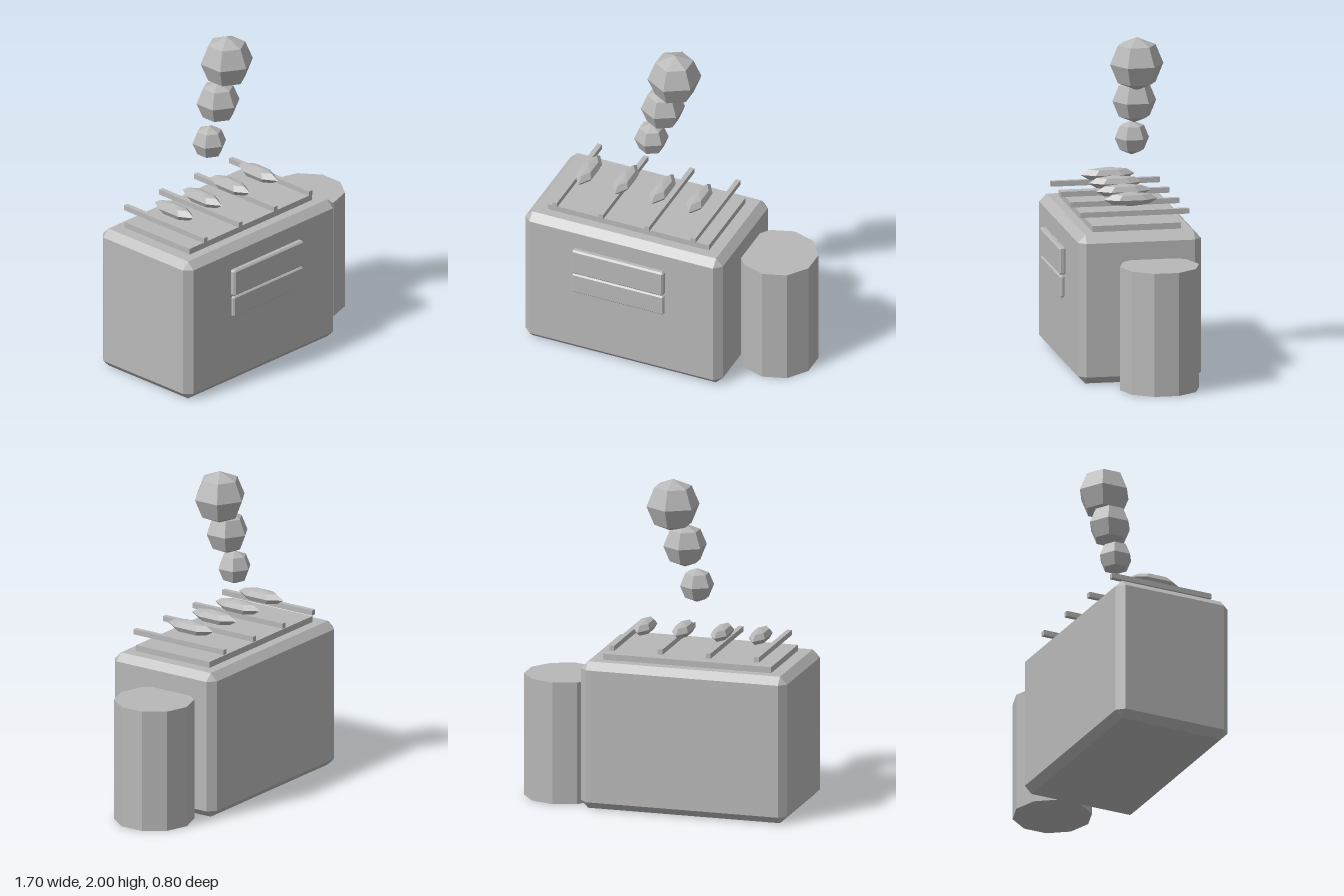
import * as THREE from 'three';
import { ConvexGeometry } from 'three/addons/geometries/ConvexGeometry.js';

const grey = new THREE.MeshStandardMaterial({ color: 0xb8b8b8, flatShading: true });
grey.name = 'grey';

// Box given by its limits, with every edge and corner chamfered by c
function chamferBox(x0, x1, y0, y1, z0, z1, c) {
  const h = [(x1 - x0) / 2, (y1 - y0) / 2, (z1 - z0) / 2];
  const points = [];
  for (const sx of [-1, 1]) for (const sy of [-1, 1]) for (const sz of [-1, 1]) {
    for (let axis = 0; axis < 3; axis++) {
      const inset = h.map((v, i) => (i === axis ? v : v - c));
      points.push(new THREE.Vector3(sx * inset[0], sy * inset[1], sz * inset[2]));
    }
  }
  return new ConvexGeometry(points).translate((x0 + x1) / 2, (y0 + y1) / 2, (z0 + z1) / 2);
}

function plainBox(x0, x1, y0, y1, z0, z1) {
  return new THREE.BoxGeometry(x1 - x0, y1 - y0, z1 - z0)
    .translate((x0 + x1) / 2, (y0 + y1) / 2, (z0 + z1) / 2);
}

// Six-sided low-poly ball with its points on the z axis
const ball = () => new THREE.SphereGeometry(1, 6, 4).rotateY(Math.PI / 2);

export function createModel() {
  const model = new THREE.Group();
  model.name = 'grill';
  const add = (name, geometry) => {
    const mesh = new THREE.Mesh(geometry, grey);
    mesh.name = name;
    model.add(mesh);
  };

  // Cabinet, hot plate and side tank
  add('cabinet', chamferBox(-0.85, 0.438, 0, 0.904, -0.402, 0.346, 0.045));
  add('hotPlate', plainBox(-0.73, 0.32, 0.904, 0.941, -0.296, 0.242));
  add('tank', new THREE.CylinderGeometry(0.24, 0.24, 0.75, 10).translate(0.62, 0.375, -0.105));

  // Front panels
  add('upperPanel', chamferBox(-0.507, 0.09, 0.6, 0.768, 0.358, 0.4, 0.01));
  add('lowerPanel', chamferBox(-0.507, 0.09, 0.462, 0.594, 0.366, 0.395, 0.008));

  // Grate bars and the sausages above them
  for (let i = 0; i < 4; i++) {
    const barX = -0.658 + i * 0.301;
    add('grateBar' + (i + 1), plainBox(barX - 0.015, barX + 0.015, 0.98, 1.012, -0.357, 0.305));
    add('sausage' + (i + 1),
      ball().scale(0.058, 0.043, 0.163).translate(-0.582 + i * 0.24, 1.057, -0.027));
  }

  // Smoke puffs growing as they rise
  [[-0.207, 1.357, 0.104], [-0.132, 1.598, 0.133], [-0.057, 1.838, 0.162]].forEach(([x, y, r], i) =>
    add('smokePuff' + (i + 1), ball().scale(r, r, r).translate(x, y, -0.1)));

  return model;
}
